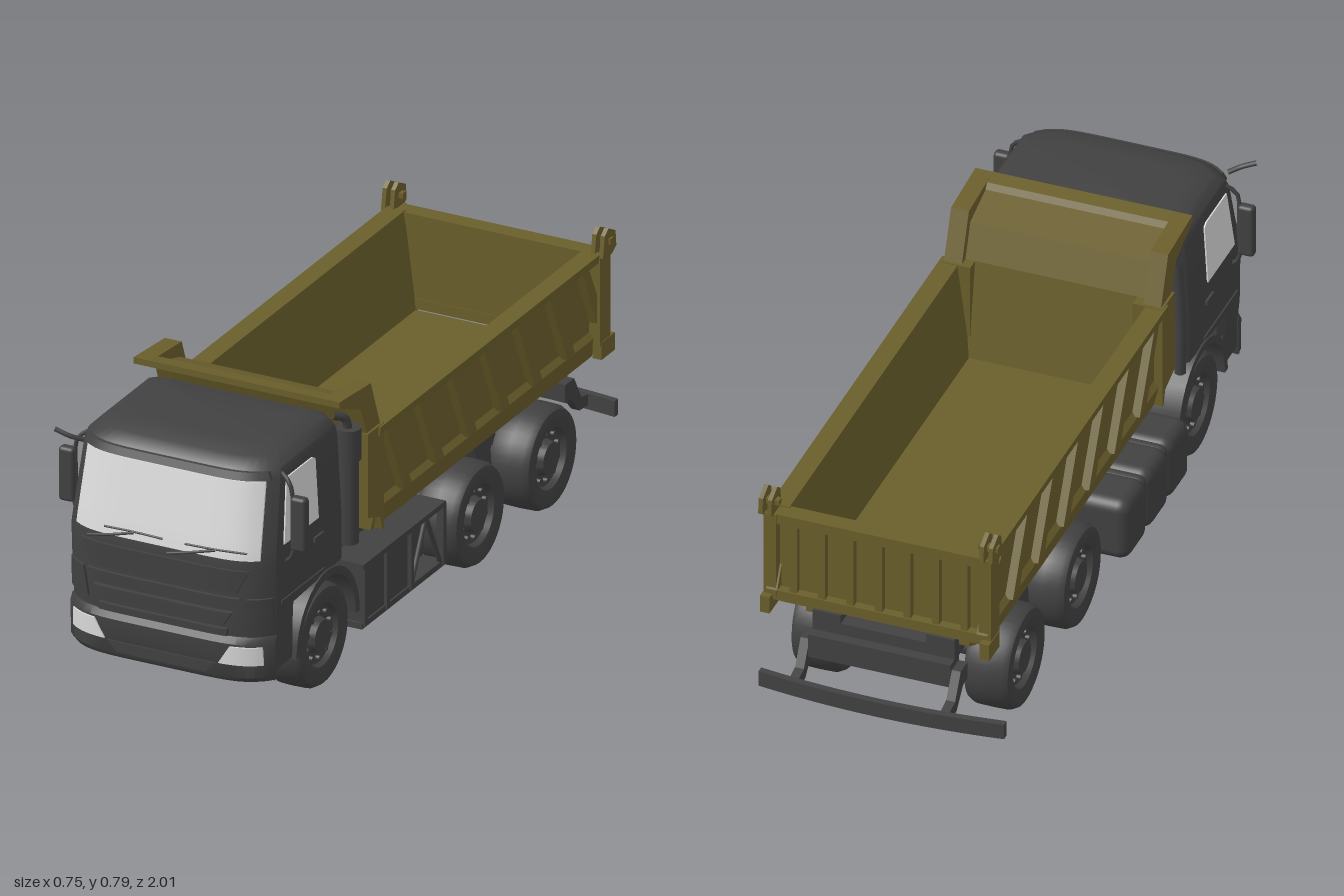
import * as THREE from 'three';
import { toCreasedNormals } from 'three/addons/utils/BufferGeometryUtils.js';
import { RoundedBoxGeometry } from 'three/addons/geometries/RoundedBoxGeometry.js';

const flat = (name, color) => Object.assign(new THREE.MeshStandardMaterial({ color }), { name });

// Cab profile rows: height, front z, back z, half width
const CAB = [[0.25, 0.982, 0.81, 0.3], [0.32, 0.985, 0.81, 0.303], [0.335, 0.985, 0.54, 0.303], [0.46, 0.992, 0.54, 0.303],
  [0.5, 0.985, 0.54, 0.301], [0.69, 0.942, 0.54, 0.29], [0.715, 0.93, 0.54, 0.284], [0.738, 0.895, 0.55, 0.262],
  [0.749, 0.83, 0.57, 0.215]];
const BUMPER = [[0.13, 0.985, 0.925, 0.298], [0.145, 0.995, 0.92, 0.303], [0.24, 0.997, 0.92, 0.303], [0.258, 0.985, 0.92, 0.303]];

function profileAt(rows, y, k) {
  if (y <= rows[0][0]) return rows[0][k];
  for (let i = 1; i < rows.length; i++) {
    const a = rows[i - 1], b = rows[i];
    if (y <= b[0]) return THREE.MathUtils.lerp(a[k], b[k], (y - a[0]) / (b[0] - a[0]));
  }
  return rows[rows.length - 1][k];
}
const bow = (x, hw) => 0.065 * Math.min(1, Math.abs(x) / hw) ** 6;
const frontZ = (rows, x, y) => profileAt(rows, y, 1) - bow(x, profileAt(rows, y, 3));

// Closed skin over horizontal sections with a bowed front
function bowedLoft(rows) {
  const rings = rows.map(([y, zf, zb, hw]) => {
    const ring = [];
    for (let i = 0; i <= 24; i++) {
      const x = hw * Math.sin((i / 24 - 0.5) * Math.PI);
      ring.push([x, y, zf - bow(x, hw)]);
    }
    const c = Math.min(0.02, (zf - 0.065 - zb) / 3);
    ring.push([hw, y, zb + c], [hw - c, y, zb], [-hw + c, y, zb], [-hw, y, zb + c]);
    return ring;
  });
  const pos = [], n = rings[0].length;
  const tri = (...p) => p.forEach(v => pos.push(...v));
  for (let i = 0; i < rings.length - 1; i++) for (let j = 0; j < n; j++) {
    const k = (j + 1) % n, a = rings[i], b = rings[i + 1];
    tri(a[j], a[k], b[k]);
    tri(a[j], b[k], b[j]);
  }
  const mid = r => [0, r[0], (r[1] + r[2]) / 2];
  const top = rings.length - 1;
  for (let j = 0; j < n; j++) {
    const k = (j + 1) % n;
    tri(mid(rows[0]), rings[0][k], rings[0][j]);
    tri(mid(rows[top]), rings[top][j], rings[top][k]);
  }
  const g = new THREE.BufferGeometry();
  g.setAttribute('position', new THREE.Float32BufferAttribute(pos, 3));
  return toCreasedNormals(g, 0.6);
}

// Plate that follows the bowed front; x ranges are given at its bottom and top
function frontPlate(rows, [b0, b1], [t0, t1], y0, y1, thick) {
  const g = new THREE.BoxGeometry(1, 1, thick, 24, 8, 1), p = g.attributes.position;
  for (let i = 0; i < p.count; i++) {
    const u = p.getX(i) + 0.5, v = p.getY(i) + 0.5, y = y0 + (y1 - y0) * v;
    const x = THREE.MathUtils.lerp(b0 + (b1 - b0) * u, t0 + (t1 - t0) * u, v);
    p.setXYZ(i, x, y, frontZ(rows, x, y) + p.getZ(i));
  }
  return toCreasedNormals(g, 0.6);
}

// Side outline given as [z, y] points, extruded from x0 to x1
function extrudeX(points, x0, x1) {
  const shape = new THREE.Shape(points.map(([z, y]) => new THREE.Vector2(-z, y)));
  const g = new THREE.ExtrudeGeometry(shape, { depth: Math.abs(x1 - x0), bevelEnabled: false });
  return g.rotateY(Math.PI / 2).translate(Math.min(x0, x1), 0, 0);
}

export function createModel() {
  const grey = flat('dark grey', 0x414141), olive = flat('olive', 0x6a5e2b), glass = flat('pale glass', 0xd9d9d9);
  const root = new THREE.Group(), truck = new THREE.Group();
  root.name = 'dumpTruck';
  truck.name = 'truck';
  truck.position.x = 0.01;
  root.add(truck);
  const add = (name, geo, mat = grey) => {
    const m = new THREE.Mesh(geo, mat);
    m.name = name;
    truck.add(m);
    return m;
  };
  const box = (name, x0, x1, y0, y1, z0, z1, mat = grey) =>
    add(name, new THREE.BoxGeometry(Math.abs(x1 - x0), y1 - y0, Math.abs(z1 - z0))
      .translate((x0 + x1) / 2, (y0 + y1) / 2, (z0 + z1) / 2), mat);
  const tube = (name, pts, r, mat = grey) =>
    add(name, new THREE.TubeGeometry(new THREE.CatmullRomCurve3(pts.map(p => new THREE.Vector3(...p))), 12, r, 8), mat);
  const both = fn => [-1, 1].forEach(fn);

  // Cab shell, bumper and windscreen
  add('cab', bowedLoft(CAB));
  add('frontBumper', bowedLoft(BUMPER));
  add('windscreen', frontPlate(CAB, [-0.272, 0.272], [-0.264, 0.264], 0.48, 0.688, 0.009), glass);
  add('sunVisorLip', frontPlate(CAB, [-0.275, 0.275], [-0.265, 0.265], 0.692, 0.712, 0.02));
  // Grille: stepped bars narrowing downwards
  add('upperGrilleBar', frontPlate(CAB, [-0.2, 0.2], [-0.225, 0.225], 0.342, 0.372, 0.022));
  add('middleGrilleBar', frontPlate(CAB, [-0.18, 0.18], [-0.205, 0.205], 0.29, 0.33, 0.028));
  add('lowerGrilleBar', frontPlate(CAB, [-0.19, 0.19], [-0.19, 0.19], 0.26, 0.28, 0.024));
  add('frontPanel', frontPlate(CAB, [-0.215, 0.215], [-0.25, 0.25], 0.385, 0.452, 0.014));
  add('bumperIntake', frontPlate(BUMPER, [-0.13, 0.13], [-0.16, 0.16], 0.15, 0.18, 0.009));

  both(s => {
    const range = (a, b) => (s > 0 ? [a, b] : [-b, -a]);
    add('cornerGrille', frontPlate(CAB, range(0.225, 0.298), range(0.24, 0.298), 0.285, 0.37, 0.018));
    add('headlight', frontPlate(BUMPER, range(0.168, 0.282), range(0.2, 0.28), 0.182, 0.234, 0.009), glass);

    // Side window, leaning with the cab wall
    const win = extrudeX([[0.69, 0.505], [0.69, 0.675], [0.705, 0.683], [0.85, 0.683], [0.882, 0.505]], -0.004, 0.004);
    const p = win.attributes.position;
    for (let i = 0; i < p.count; i++) p.setX(i, p.getX(i) + s * profileAt(CAB, p.getY(i), 3));
    win.computeVertexNormals();
    add('sideWindow', win, glass);
    box('doorHandle', s * 0.3, s * 0.31, 0.445, 0.458, 0.67, 0.72);
    box('doorSill', s * 0.295, s * 0.307, 0.34, 0.35, 0.66, 0.9);

    // Mirror on two arms
    add('mirror', new RoundedBoxGeometry(0.046, 0.155, 0.03, 2, 0.01).translate(s * 0.343, 0.568, 0.87));
    tube('mirrorArm', [[s * 0.285, 0.7, 0.86], [s * 0.315, 0.675, 0.87], [s * 0.322, 0.56, 0.865],
      [s * 0.32, 0.47, 0.87], [s * 0.298, 0.45, 0.87]], 0.006);

    // Wheel arch and steps
    const arc = [];
    for (let i = 0; i <= 16; i++) arc.push([i * Math.PI / 16, 0.187]);
    for (let i = 16; i >= 0; i--) arc.push([i * Math.PI / 16, 0.165]);
    add('frontFender', toCreasedNormals(extrudeX(arc.map(([a, r]) => [0.645 + Math.cos(a) * r * 0.95, 0.15 + Math.sin(a) * r]),
      s * 0.17, s * 0.308), 0.5));
    box('cabStep', s * 0.17, s * 0.295, 0.155, 0.25, 0.82, 0.93);
  });

  // Wipers
  [-0.22, 0.02].forEach(x => {
    const at = (dx, y) => [x + dx, y, frontZ(CAB, x + dx, y) + 0.012];
    tube('wiperArm', [at(0, 0.468), at(0.06, 0.482), at(0.14, 0.503)], 0.004);
    tube('wiperBlade', [at(0.05, 0.503), at(0.14, 0.505), at(0.225, 0.503)], 0.003);
  });
  tube('kerbMirror', [[-0.27, 0.7, 0.92], [-0.3, 0.712, 0.94], [-0.34, 0.728, 0.95]], 0.007);

  // Chassis, drivetrain and the gear behind the cab
  box('chassis', -0.15, 0.15, 0.2, 0.305, -0.87, 0.93);
  box('underTray', -0.11, 0.11, 0.125, 0.22, 0.4, 0.93);
  both(s => box('frameRail', s * 0.12, s * 0.2, 0.265, 0.33, -0.87, 0.55));
  box('airBox', -0.22, 0.2, 0.32, 0.6, 0.46, 0.545);
  add('airIntake', new THREE.CylinderGeometry(0.028, 0.028, 0.3, 20).translate(0.285, 0.5, 0.487));
  add('intakeCap', new THREE.CylinderGeometry(0.034, 0.034, 0.09, 20).translate(0.285, 0.635, 0.487));
  tube('intakePipe', [[0.285, 0.67, 0.487], [0.28, 0.71, 0.5], [0.26, 0.725, 0.53]], 0.012);
  tube('exhaustPipe', [[-0.3, 0.34, 0.5], [-0.3, 0.5, 0.5], [-0.29, 0.68, 0.5]], 0.016);

  // Wheels and axles
  const tyre = new THREE.LatheGeometry([[0.08, -0.05], [0.118, -0.058], [0.134, -0.053], [0.143, -0.038], [0.144, 0], [0.143, 0.038],
    [0.134, 0.053], [0.118, 0.058], [0.086, 0.05], [0.08, 0.036], [0.06, 0.03], [0.05, 0.03], [0.044, 0.05], [0, 0.052]]
    .map(([r, h]) => new THREE.Vector2(r, h)), 40).rotateZ(-Math.PI / 2);
  const wheelGeo = toCreasedNormals(tyre, 0.7);
  const bolt = new THREE.CylinderGeometry(0.007, 0.007, 0.012, 8).rotateZ(Math.PI / 2);
  [0.645, -0.215, -0.62].forEach((z, n) => {
    both(s => {
      const wheel = new THREE.Group();
      wheel.name = n ? 'rearWheel' : 'frontWheel';
      const body = new THREE.Mesh(wheelGeo, grey);
      body.name = 'tyreAndHub';
      if (n) body.scale.x = 1.15;
      const disc = new THREE.Mesh(new THREE.CylinderGeometry(0.09, 0.09, 0.02, 24).rotateZ(Math.PI / 2), grey);
      disc.name = 'innerDisc';
      disc.position.x = -0.035;
      wheel.add(body, disc);
      for (let i = 0; i < 10; i++) {
        const b = new THREE.Mesh(bolt, grey), a = i * Math.PI / 5;
        b.name = 'wheelBolt';
        b.position.set(n ? 0.041 : 0.036, Math.cos(a) * 0.066, Math.sin(a) * 0.066);
        wheel.add(b);
      }
      wheel.position.set(s * 0.2425, 0.144, z);
      if (s < 0) wheel.rotation.y = Math.PI;
      truck.add(wheel);
    });
    add('axle', new THREE.CylinderGeometry(0.03, 0.03, 0.42, 16).rotateZ(Math.PI / 2).translate(0, 0.15, z));
  });
  both(s => {
    add('leafSpring', extrudeX([[-0.2, 0.17], [-0.41, 0.235], [-0.63, 0.17], [-0.63, 0.195], [-0.41, 0.275], [-0.2, 0.195]], s * 0.15, s * 0.19));
    add('springMount', extrudeX([[-0.36, 0.13], [-0.46, 0.13], [-0.45, 0.22], [-0.48, 0.3], [-0.34, 0.3], [-0.37, 0.22]], s * 0.14, s * 0.21));
  });

  // Fuel tank in three strapped sections on the right
  [0.35, 0.2, 0.045].forEach(z => add('fuelTank', new RoundedBoxGeometry(0.185, 0.185, 0.15, 4, 0.035).translate(-0.2675, 0.172, z)));
  [0.275, 0.122].forEach(z => add('tankStrap', new RoundedBoxGeometry(0.17, 0.17, 0.05, 3, 0.025).translate(-0.265, 0.172, z)));

  // Battery box and open rack on the left
  box('batteryBox', 0.16, 0.295, 0.095, 0.255, 0.175, 0.43);
  box('rackDeck', 0.15, 0.305, 0.252, 0.267, -0.02, 0.44);
  box('rackFloor', 0.15, 0.3, 0.08, 0.097, -0.02, 0.44);
  [-0.015, 0.165, 0.3, 0.425].forEach(z => box('rackPost', 0.285, 0.305, 0.085, 0.26, z - 0.008, z + 0.008));
  [[0.155, 0.075], [-0.005, 0.075]].forEach(([a, b]) => tube('rackBrace', [[0.295, 0.095, a], [0.295, 0.255, b]], 0.007));
  box('rackTank', 0.16, 0.25, 0.11, 0.24, 0.0, 0.15);

  // Rear cross beam and its bowed guard bar
  box('rearCrossBeam', -0.2, 0.2, 0.2, 0.27, -0.9, -0.84);
  both(s => add('guardArm', extrudeX([[-0.84, 0.25], [-0.89, 0.25], [-0.93, 0.18], [-0.975, 0.17], [-0.975, 0.14], [-0.92, 0.145], [-0.87, 0.2], [-0.84, 0.2]],
    s * 0.2, s * 0.225)));
  const guard = new THREE.BoxGeometry(0.69, 0.045, 0.02, 16, 1, 1), gp = guard.attributes.position;
  for (let i = 0; i < gp.count; i++) gp.setZ(i, gp.getZ(i) - 0.99 + 0.2 * gp.getX(i) ** 2);
  guard.computeVertexNormals();
  add('rearGuard', guard.translate(-0.035, 0.152, 0));

  // Tipper bed: floor, profiled side walls and slanted ribs
  box('bedFloor', -0.25, 0.25, 0.335, 0.362, -0.86, 0.36, olive);
  both(s => {
    const section = [[0.225, 0.335], [0.288, 0.335], [0.302, 0.395], [0.288, 0.41], [0.288, 0.6], [0.316, 0.615], [0.318, 0.638],
      [0.264, 0.638], [0.228, 0.36]].map(([x, y]) => new THREE.Vector2(s * x, y));
    add('bedSide', new THREE.ExtrudeGeometry(new THREE.Shape(section), { depth: 1.24, bevelEnabled: false }).translate(0, 0, -0.87), olive);
    for (let i = 0; i < 7; i++) {
      const z = 0.325 - i * 0.183;
      add('sideRib', extrudeX([[z, 0.618], [z - 0.1, 0.4], [z - 0.145, 0.4], [z - 0.035, 0.618]], s * 0.28, s * 0.311), olive);
    }
    add('frontCorner', extrudeX([[0.34, 0.335], [0.35, 0.335], [0.36, 0.375], [0.43, 0.4], [0.43, 0.64], [0.34, 0.64]], s * 0.228, s * 0.312), olive);
    add('headboardCheek', extrudeX([[0.345, 0.63], [0.42, 0.63], [0.455, 0.72], [0.575, 0.772], [0.575, 0.79], [0.4, 0.775]], s * 0.255, s * 0.305), olive);
    add('hingeBracket', extrudeX([[0.085, 0.34], [-0.005, 0.34], [0.06, 0.275], [0.075, 0.275]], s * 0.2, s * 0.23), olive);
    add('rearPivot', extrudeX([[-0.7, 0.34], [-0.84, 0.34], [-0.84, 0.3], [-0.79, 0.275], [-0.77, 0.275]], s * 0.2, s * 0.23), olive);
    // Rear corner post with latch and hook
    box('cornerPost', s * 0.285, s * 0.32, 0.375, 0.635, -0.915, -0.855, olive);
    [0.3, 0.325].forEach(x => add('tailgateHook', extrudeX([[-0.855, 0.63], [-0.865, 0.69], [-0.885, 0.705], [-0.925, 0.685], [-0.93, 0.64], [-0.905, 0.625]],
      s * (x - 0.008), s * (x + 0.004)), olive));
    box('hookPin', s * 0.28, s * 0.335, 0.66, 0.675, -0.905, -0.885, olive);
    box('lowerLatch', s * 0.295, s * 0.322, 0.335, 0.385, -0.935, -0.86, olive);
  });
  add('headboard', extrudeX([[0.33, 0.36], [0.42, 0.4], [0.42, 0.64], [0.455, 0.72], [0.575, 0.772], [0.575, 0.79], [0.53, 0.785],
    [0.52, 0.768], [0.41, 0.735], [0.375, 0.64]], -0.26, 0.26), olive);

  // Tailgate with rails and upright ribs
  box('tailgate', -0.295, 0.295, 0.37, 0.632, -0.885, -0.862, olive);
  box('tailgateTopRail', -0.3, 0.3, 0.605, 0.635, -0.91, -0.86, olive);
  box('tailgateBottomRail', -0.3, 0.3, 0.365, 0.395, -0.91, -0.86, olive);
  for (let i = 0; i < 7; i++) {
    const x = (i - 3) * 0.08;
    box('tailgateRib', x - 0.01, x + 0.01, 0.39, 0.61, -0.905, -0.88, olive);
  }
  return root;
}
